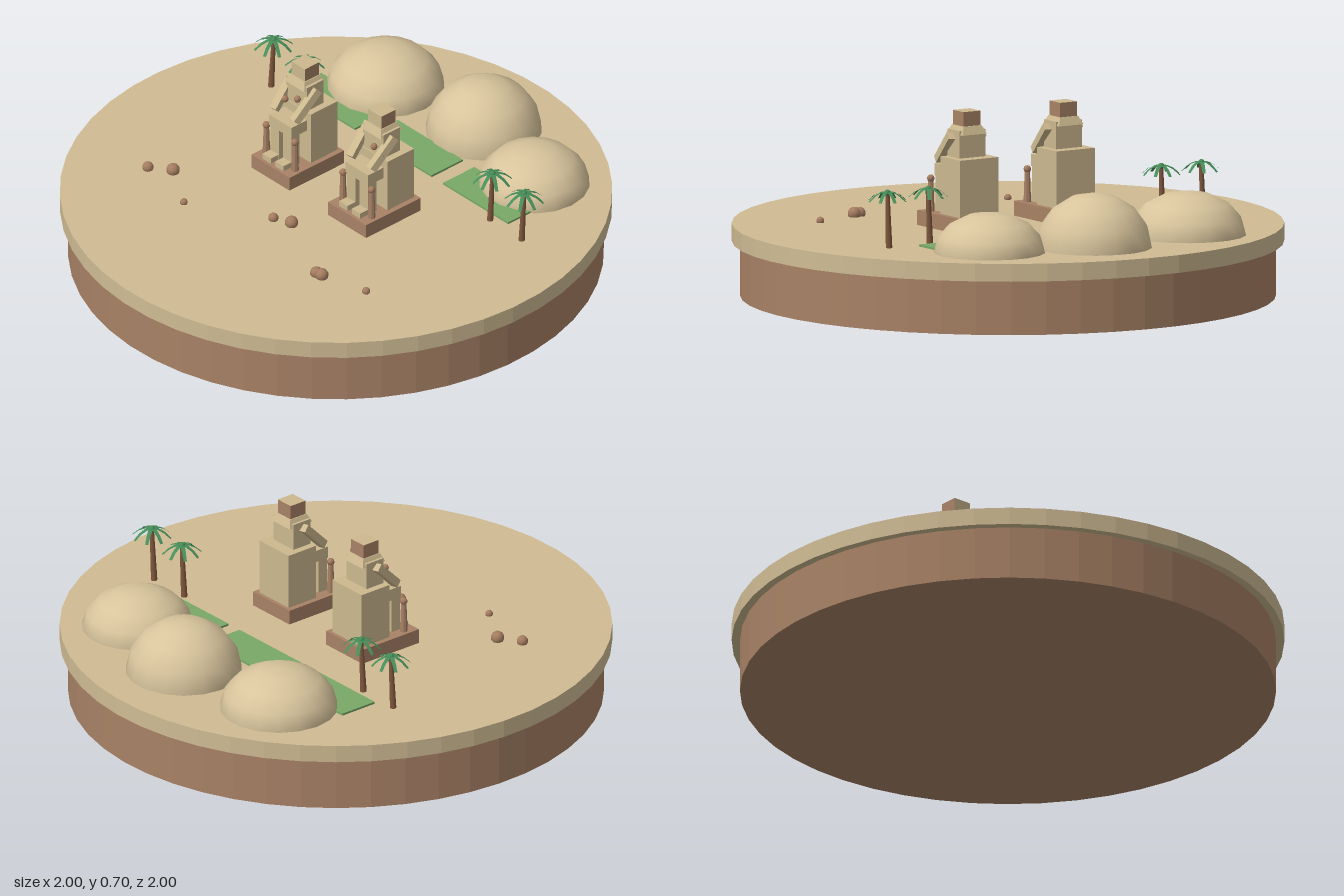
import * as THREE from 'three';

const mat = (name, color, opts = {}) => {
  const m = new THREE.MeshStandardMaterial({ color, ...opts });
  m.name = name;
  return m;
};

export function createModel() {
  const sand = mat('sand', 0xd0bc94, { flatShading: true });
  const dune = mat('dune sand', 0xd8c49c);
  const stone = mat('carved stone', 0xcdb98f, { flatShading: true });
  const earth = mat('brown earth', 0xa98266, { flatShading: true });
  const rock = mat('brown rock', 0xa57c60);
  const grass = mat('grass', 0x79a968);
  const leaf = mat('palm leaf', 0x468c58, { side: THREE.DoubleSide });
  const bark = mat('palm bark', 0x80583f);

  const model = new THREE.Group();
  model.name = 'desertDiorama';
  const GROUND = 0.265, TURN = -0.35;

  const add = (parent, name, geo, material, x = 0, y = 0, z = 0) => {
    const mesh = new THREE.Mesh(geo, material);
    mesh.name = name;
    mesh.position.set(x, y, z);
    parent.add(mesh);
    return mesh;
  };
  const box = (w, h, d) => new THREE.BoxGeometry(w, h, d);

  // Round base
  add(model, 'earthBase', new THREE.CylinderGeometry(0.97, 0.97, 0.2, 48), earth, 0, 0.1, 0);
  add(model, 'sandDisc', new THREE.CylinderGeometry(1, 1, 0.065, 48), sand, 0, 0.2325, 0);

  // Dunes: flattened half spheres
  for (const [x, z, r, h] of [[-0.16, -0.69, 0.215, 0.16], [0.287, -0.603, 0.212, 0.2], [0.612, -0.375, 0.203, 0.147]]) {
    const geo = new THREE.SphereGeometry(1, 18, 4, 0, Math.PI * 2, 0, Math.PI / 2);
    add(model, 'dune', geo, dune, x, GROUND, z).scale.set(r, h, r);
  }

  // Strips of grass
  for (let i = -1; i <= 1; i++) {
    const g = add(model, 'grassPatch', box(0.35, 0.008, 0.153), grass, 0.13 + i * 0.388, GROUND + 0.004, -0.365 + i * 0.143);
    g.rotation.y = TURN;
  }

  // Bar between two points
  const bar = (parent, name, a, b, w, d, material) => {
    const A = new THREE.Vector3(...a), B = new THREE.Vector3(...b);
    const mesh = add(parent, name, box(w, A.distanceTo(B), d), material);
    mesh.position.copy(A).add(B).multiplyScalar(0.5);
    mesh.quaternion.setFromUnitVectors(new THREE.Vector3(0, 1, 0), B.sub(A).normalize());
  };

  // Seated stone figures
  const statue = (x, z, hand) => {
    const s = new THREE.Group();
    s.name = 'seatedStatue';
    s.position.set(x, GROUND, z);
    s.rotation.y = TURN;
    model.add(s);
    add(s, 'pedestal', box(0.205, 0.055, 0.267), earth, 0, 0.0275, 0);
    add(s, 'throne', box(0.165, 0.21, 0.13), stone, 0, 0.16, -0.055);
    add(s, 'lap', box(0.12, 0.045, 0.1), stone, 0, 0.207, 0.035);
    add(s, 'torso', box(0.112, 0.11, 0.08), stone, 0, 0.31, -0.035);
    add(s, 'collar', new THREE.CylinderGeometry(0.055, 0.075, 0.03, 4).rotateY(Math.PI / 4), stone, 0, 0.365, -0.037);
    // Head: brown on the sides and back, stone on the face and top
    add(s, 'head', box(0.072, 0.07, 0.07), [earth, earth, stone, stone, stone, earth], 0, 0.398, -0.037);
    for (const side of [-1, 1]) {
      add(s, 'leg', box(0.046, 0.15, 0.04), stone, side * 0.034, 0.13, 0.062);
      add(s, 'foot', box(0.044, 0.022, 0.045), stone, side * 0.034, 0.066, 0.098);
      bar(s, 'arm', [side * 0.066, 0.345, -0.035], [side * 0.055, 0.245, 0.065], 0.028, 0.03, stone);
      // Small companion beside the shin
      add(s, 'companionBody', new THREE.CylinderGeometry(0.01, 0.014, 0.11, 8), earth, side * 0.077, 0.11, 0.083);
      add(s, 'companionHead', new THREE.SphereGeometry(0.014, 8, 6), rock, side * 0.077, 0.175, 0.083);
    }
    add(s, 'chestStone', new THREE.SphereGeometry(0.013, 8, 6), rock, 0.013, 0.3, 0.013);
    add(s, 'handStone', new THREE.SphereGeometry(0.013, 8, 6), rock, ...hand);
  };
  statue(-0.197, -0.077, [-0.018, 0.3, 0.045]);
  statue(0.192, 0.068, [0.062, 0.29, 0.02]);

  // Palm frond: narrow arched strip along +x
  const frond = new THREE.PlaneGeometry(0.072, 0.018, 3, 1).rotateX(-Math.PI / 2).translate(0.036, 0, 0);
  const p = frond.attributes.position;
  for (let i = 0; i < p.count; i++) {
    const t = p.getX(i) / 0.072;
    p.setY(i, 0.012 * t - 0.045 * t * t);
    p.setZ(i, p.getZ(i) * (1 - 0.35 * t));
  }
  frond.computeVertexNormals();

  // Palms
  [[-0.512, -0.49], [-0.352, -0.428], [0.595, -0.085], [0.757, -0.022]].forEach(([x, z], k) => {
    const palm = new THREE.Group();
    palm.name = 'palm';
    palm.position.set(x, GROUND, z);
    model.add(palm);
    const trunk = add(palm, 'trunk', new THREE.CylinderGeometry(0.008, 0.012, 0.2, 8), bark, -0.005, 0.1, 0);
    trunk.rotation.z = -0.05;
    add(palm, 'crown', new THREE.SphereGeometry(0.012, 8, 6), leaf, 0, 0.203, 0);
    for (let i = 0; i < 8; i++) add(palm, 'frond', frond, leaf, 0, 0.206, 0).rotation.y = k * 0.35 + i * Math.PI / 4;
  });

  // Scattered rocks
  for (const [x, z, r] of [[-0.665, 0.197, 0.021], [-0.575, 0.173, 0.025], [-0.446, 0.335, 0.014], [-0.11, 0.278, 0.019],
    [-0.036, 0.278, 0.025], [0.195, 0.525, 0.023], [0.22, 0.53, 0.025], [0.408, 0.543, 0.015]]) {
    add(model, 'rock', new THREE.SphereGeometry(r, 10, 7), rock, x, GROUND + r * 0.45, z);
  }

  return model;
}
